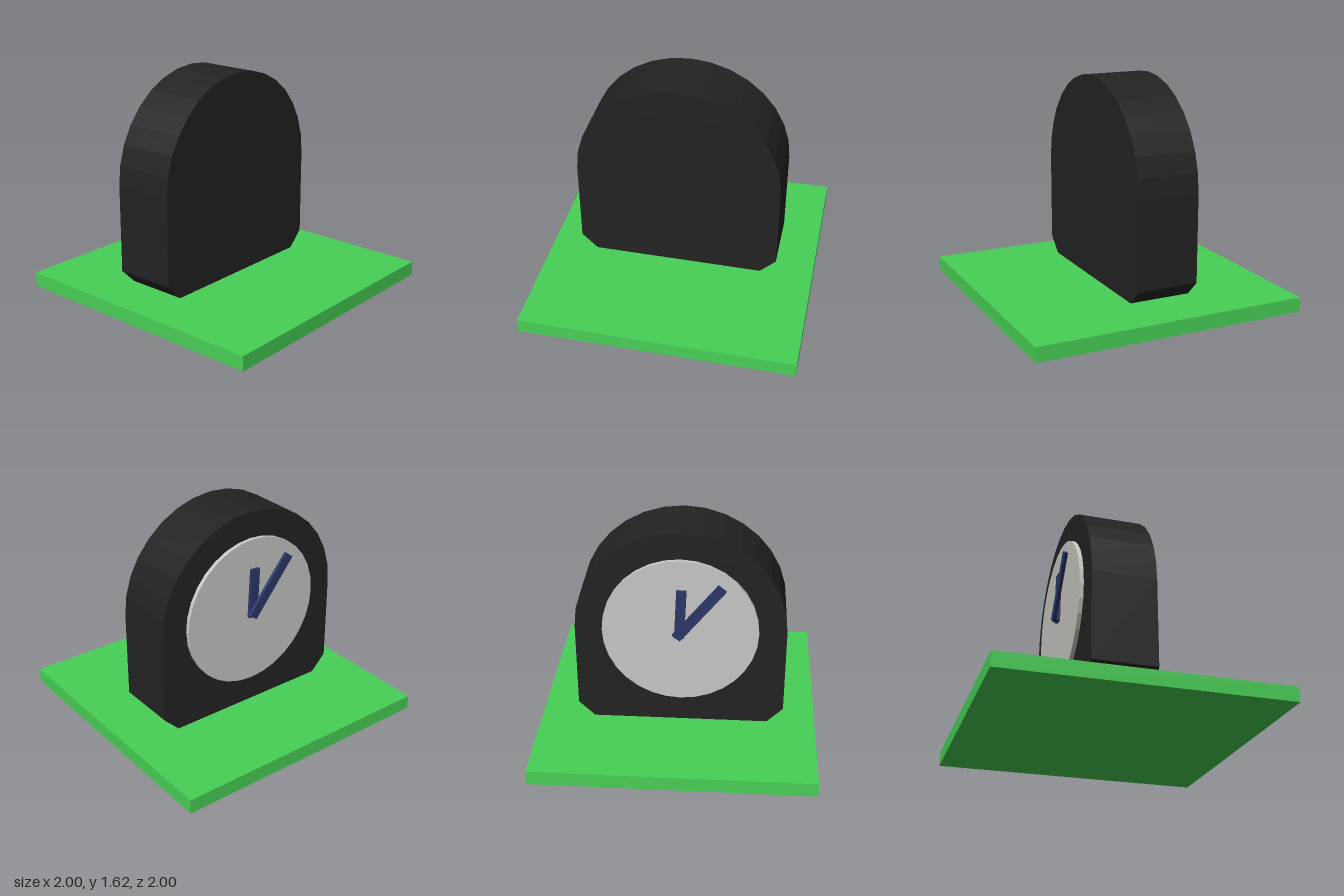
import * as THREE from 'three';

const material = (name, color) => {
  const m = new THREE.MeshStandardMaterial({ color });
  m.name = name;
  m.flatShading = true;
  return m;
};

export function createModel() {
  const group = new THREE.Group();
  const green = material('green', 0x48d056);
  const black = material('black', 0x232323);
  const grey = material('light grey', 0xc8c8c5);
  const blue = material('navy blue', 0x2b3769);

  const cx = -0.02, cy = 0.87; // centre of the arch and dial

  const add = (name, geometry, mat, x, y, z) => {
    const mesh = new THREE.Mesh(geometry, mat);
    mesh.name = name;
    mesh.position.set(x, y, z);
    group.add(mesh);
    return mesh;
  };

  // Base slab
  add('base', new THREE.BoxGeometry(2, 0.106, 2), green, 0, 0.053, 0);

  // Arched case with chamfered lower corners
  const r = 0.745, bottom = -0.752, chamfer = 0.115;
  const outline = [
    [-r, bottom + chamfer], [-r + chamfer, bottom],
    [r - chamfer, bottom], [r, bottom + chamfer],
  ].map(([x, y]) => new THREE.Vector2(x, y));
  for (let i = 0; i <= 16; i++) {
    const a = (i / 16) * Math.PI;
    outline.push(new THREE.Vector2(r * Math.cos(a), r * Math.sin(a)));
  }
  const caseGeometry = new THREE.ExtrudeGeometry(new THREE.Shape(outline), { depth: 0.455, bevelEnabled: false });
  add('case', caseGeometry, black, cx, cy, -0.318);

  // Round dial on the back face
  const dial = new THREE.CylinderGeometry(0.55, 0.55, 0.037, 32);
  dial.rotateX(Math.PI / 2);
  add('dial', dial, grey, cx, cy, -0.3285);

  // Hands, each turned about its pivot with a short tail below it
  const hand = (name, length, tail, degrees, z) => {
    const geometry = new THREE.BoxGeometry(0.07, length, 0.024);
    geometry.translate(0, length / 2 - tail, 0);
    add(name, geometry, blue, cx + 0.005, cy, z).rotation.z = THREE.MathUtils.degToRad(degrees);
  };
  hand('shortHand', 0.37, 0.04, 2.5, -0.359);
  hand('longHand', 0.507, 0.035, 38.5, -0.383);

  return group;
}
